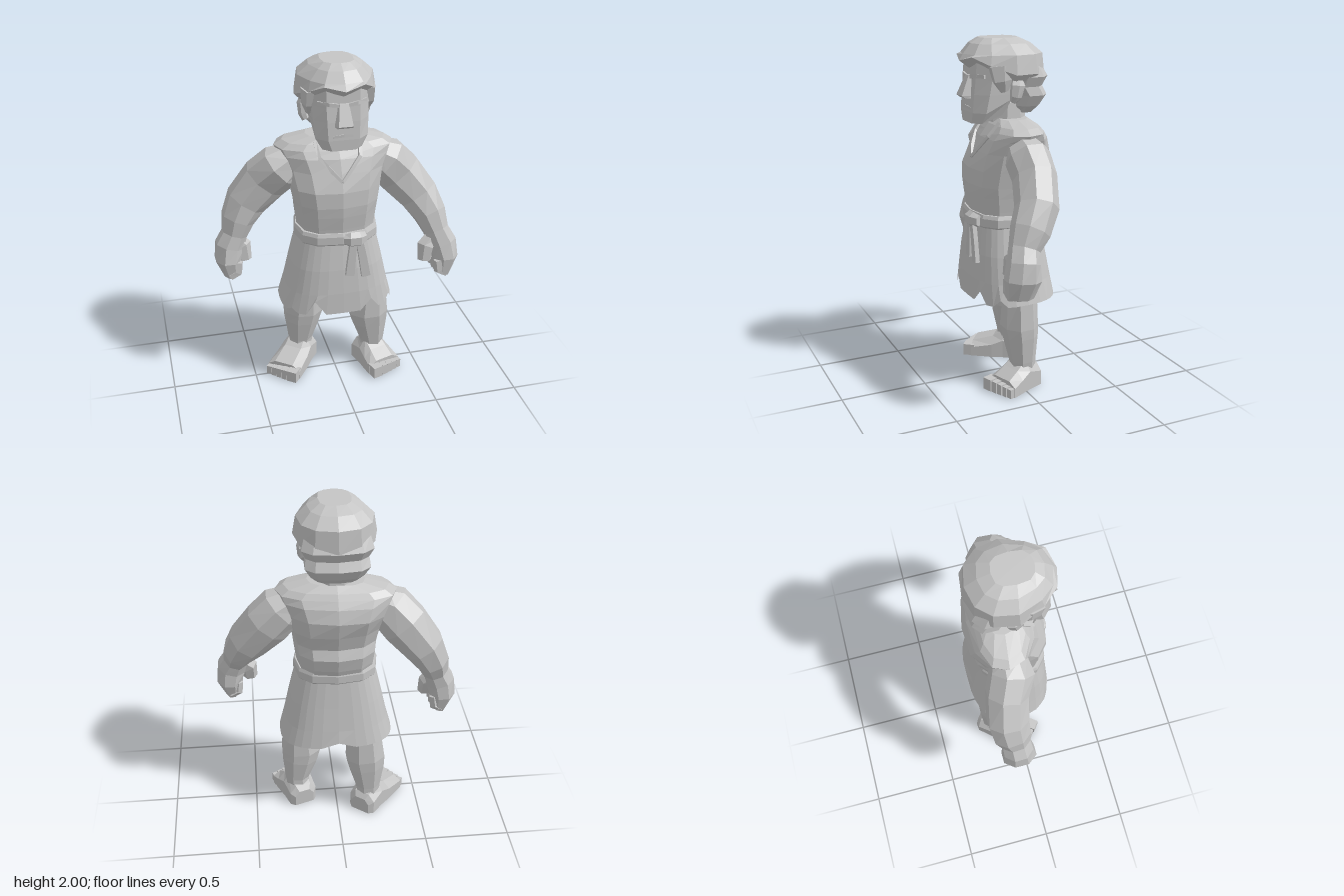
import * as THREE from 'three';

const V = (x, y, z) => new THREE.Vector3(x, y, z);
const grey = new THREE.MeshStandardMaterial({ color: 0xc4c4c4, side: THREE.DoubleSide });
grey.name = 'stone grey';

// Faceted skin over a list of equal-length point rings
function loft(name, rings, caps = true) {
  const pos = [];
  const tri = (...pts) => pts.forEach(p => pos.push(p.x, p.y, p.z));
  const n = rings[0].length;
  for (let i = 0; i < rings.length - 1; i++) {
    for (let j = 0; j < n; j++) {
      const k = (j + 1) % n, a = rings[i], b = rings[i + 1];
      tri(a[j], a[k], b[k]);
      tri(a[j], b[k], b[j]);
    }
  }
  if (caps) {
    for (const [ring, first] of [[rings[0], true], [rings[rings.length - 1], false]]) {
      const c = ring.reduce((s, p) => s.add(p), V(0, 0, 0)).divideScalar(n);
      ring.forEach((p, j) => {
        const q = ring[(j + 1) % n];
        first ? tri(c, q, p) : tri(c, p, q);
      });
    }
  }
  const geo = new THREE.BufferGeometry();
  geo.setAttribute('position', new THREE.Float32BufferAttribute(pos, 3));
  geo.computeVertexNormals();
  const mesh = new THREE.Mesh(geo, grey);
  mesh.name = name;
  return mesh;
}

// Horizontal rounded ring: height, half width, front z, back z
function ring([y, hw, zf, zb], n, p = 0.8, offset = 0, yAt = null) {
  const pw = v => Math.sign(v) * Math.abs(v) ** p;
  return Array.from({ length: n }, (_, i) => {
    const a = (i + offset) / n * Math.PI * 2;
    const x = hw * pw(Math.sin(a)), z = (zf + zb) / 2 + (zf - zb) / 2 * pw(Math.cos(a));
    return V(x, yAt ? yAt(i, z) : y, z);
  });
}

// Limb through sections [x, y, z, radius across, radius in depth]
function limb(name, sections, n = 8) {
  const c = sections.map(s => V(s[0], s[1], s[2]));
  return loft(name, sections.map(([, , , ru, rv = ru], i) => {
    const t = c[Math.min(i + 1, c.length - 1)].clone().sub(c[Math.max(i - 1, 0)]).normalize();
    const ref = Math.abs(t.z) > 0.9 ? V(0, 1, 0) : V(0, 0, 1);
    const v = ref.addScaledVector(t, -ref.dot(t)).normalize();
    const u = t.clone().cross(v);
    return Array.from({ length: n }, (_, j) => {
      const a = (j + 0.5) / n * Math.PI * 2;
      return c[i].clone().addScaledVector(u, ru * Math.sin(a)).addScaledVector(v, rv * Math.cos(a));
    });
  }));
}

function buildHead() {
  const g = new THREE.Group();
  g.name = 'head';
  // Jaw rings rise behind the chin
  const jaw = [[1.54, 0.115, 0.22, 0.0], [1.6, 0.152, 0.222, -0.06], [1.70, 0.16, 0.216, -0.12],
    [1.78, 0.164, 0.208, -0.15], [1.90, 0.164, 0.2, -0.15]];
  g.add(loft('face', jaw.map((r, i) => ring(r, 8, 0.6, 0.5, (_, z) => r[0] + (i < 2 ? Math.max(0, 0.1 - z) * 0.8 : 0)))));
  // Nose
  const quad = (y, w, zf, zb) => [V(-w, y, zf), V(w, y, zf), V(w * 1.3, y, zb), V(-w * 1.3, y, zb)];
  g.add(loft('nose', [quad(1.675, 0.042, 0.24, 0.19), quad(1.69, 0.04, 0.26, 0.19), quad(1.8, 0.024, 0.212, 0.19)]));
  g.add(limb('mouth', [[-0.06, 1.62, 0.208, 0.01], [0, 1.625, 0.211, 0.011], [0.05, 1.62, 0.208, 0.01]], 4));
  for (const s of [-1, 1]) {
    g.add(limb('brow', [[s * 0.025, 1.79, 0.2, 0.013], [s * 0.075, 1.80, 0.198, 0.014], [s * 0.13, 1.80, 0.16, 0.014]], 4));
    g.add(limb('ear', [[s * 0.165, 1.66, 0.01, 0.02, 0.02], [s * 0.178, 1.69, 0.0, 0.025, 0.035],
      [s * 0.184, 1.75, -0.01, 0.025, 0.045], [s * 0.17, 1.79, -0.01, 0.02, 0.03]], 6));
    g.add(limb('sideburn', [[s * 0.165, 1.86, 0.08, 0.04, 0.08], [s * 0.17, 1.78, 0.075, 0.032, 0.06],
      [s * 0.162, 1.72, 0.06, 0.014, 0.025]], 6));
  }
  // Hair cap with a scalloped hairline, narrower at the forehead, and the nape below it
  const line = [1.84, 1.865, 1.82, 1.77, 1.77, 1.74, 1.75];
  const taper = pts => pts.map(p => V(p.x * (p.z > 0.1 ? 0.88 : 1), p.y, p.z));
  g.add(loft('hairCap', [
    ring([0, 0.19, 0.205, -0.2], 12, 0.8, 0, i => line[Math.min(i, 12 - i)]),
    ring([0, 0.228, 0.258, -0.232], 12, 0.88, 0, i => line[Math.min(i, 12 - i)] + 0.04),
    ring([1.915, 0.21, 0.235, -0.216], 12, 0.85),
    ring([1.97, 0.15, 0.19, -0.15], 12, 0.8),
    ring([2.0, 0.09, 0.14, -0.08], 12, 0.7)].map(taper)));
  g.add(loft('napeHair', [[1.585, 0.11, -0.06, -0.155], [1.625, 0.15, -0.03, -0.195], [1.685, 0.182, -0.03, -0.23],
    [1.735, 0.175, 0.0, -0.205], [1.79, 0.2, 0.0, -0.232], [1.86, 0.18, 0.0, -0.19]].map(r => ring(r, 10, 0.75))));
  g.add(limb('neck', [[0, 1.42, -0.02, 0.13, 0.13], [0, 1.53, -0.025, 0.11, 0.11], [0, 1.64, -0.03, 0.1, 0.095]]));
  return g;
}

function buildTunic() {
  const g = new THREE.Group();
  g.name = 'tunic';
  // Shoulders turn slightly: the left one sits further forward
  const turned = pts => pts.map(p => V(p.x, p.y, p.z + p.x * 0.08));
  g.add(loft('shirt', [[0.97, 0.22, 0.185, -0.185], [1.05, 0.228, 0.195, -0.212], [1.13, 0.238, 0.207, -0.23],
    [1.19, 0.245, 0.212, -0.208], [1.28, 0.262, 0.208, -0.232], [1.38, 0.28, 0.172, -0.252], [1.455, 0.315, 0.138, -0.225],
    [1.495, 0.335, 0.108, -0.195], [1.525, 0.29, 0.085, -0.17], [1.555, 0.16, 0.055, -0.13]]
    .map(r => r[0] > 1.3 ? turned(ring(r, 12, 0.78)) : ring(r, 12, 0.78))));
  // V collar
  for (const s of [-1, 1]) {
    g.add(limb('collar', [[s * 0.125, 1.54, 0.062 + s * 0.01, 0.014], [s * 0.112, 1.465, 0.123 + s * 0.009, 0.014],
      [s * 0.055, 1.4, 0.16, 0.014], [0, 1.34, 0.187, 0.012]], 4));
  }
  // Skirt with torn hem
  const notch = { 2: 0.59, 5: 0.565, 16: 0.575, 27: 0.55, 30: 0.61 };
  g.add(loft('skirt', [
    ring([0, 0.335, 0.228, -0.258], 32, 0.72, 0, (i, z) => notch[i] ?? 0.53 - z * 0.04),
    ring([0.65, 0.303, 0.224, -0.24], 32, 0.72),
    ring([0.80, 0.27, 0.212, -0.215], 32, 0.72),
    ring([0.97, 0.23, 0.188, -0.188], 32, 0.75)], false));
  return g;
}

function buildBelt() {
  const g = new THREE.Group();
  g.name = 'belt';
  g.add(loft('belt', [[0.955, 0.235, 0.2, -0.195], [0.965, 0.243, 0.208, -0.203], [1.01, 0.243, 0.208, -0.203],
    [1.03, 0.235, 0.2, -0.195]].map(r => ring(r, 12, 0.75))));
  g.add(limb('knot', [[0.01, 0.995, 0.205, 0.03, 0.025], [0.04, 0.995, 0.22, 0.046, 0.034],
    [0.09, 0.995, 0.22, 0.046, 0.034], [0.125, 0.995, 0.2, 0.035, 0.025]], 6));
  for (const [x0, x1, y1] of [[0.055, 0.035, 0.77], [0.09, 0.13, 0.755]]) {
    g.add(limb('beltTail', [[x0, 0.98, 0.222, 0.028, 0.018], [(x0 + x1) / 2, 0.88, 0.222, 0.032, 0.018],
      [x1, y1, 0.222, 0.036, 0.018]], 4));
  }
  return g;
}

// s: side; z: depths of shoulder, upper arm, elbow, forearm, wrist, palm, knuckles, fingertips
function buildArm(s, z, thumbX) {
  const g = new THREE.Group();
  g.name = s > 0 ? 'leftArm' : 'rightArm';
  const path = [[0.24, 1.41, 0.1, 0.1], [0.3, 1.37, 0.135, 0.125], [0.385, 1.28, 0.14, 0.12], [0.495, 1.145, 0.122, 0.12],
    [0.55, 1.04, 0.098, 0.112], [0.575, 0.955, 0.076, 0.088], [0.605, 0.885, 0.088, 0.092], [0.62, 0.8, 0.08, 0.105], [0.607, 0.7, 0.045, 0.08]];
  const depth = [z[0], ...z];
  g.add(limb('arm', path.map(([x, y, a, b], i) => [s * x, y, depth[i], a, b])));
  // Thumb and curled fingers on the inner side
  const hz = z[6];
  g.add(limb('thumb', [[s * (thumbX + 0.055), 0.93, hz - 0.02, 0.045], [s * thumbX, 0.875, hz + 0.005, 0.055, 0.05],
    [s * (thumbX - 0.01), 0.79, hz + 0.02, 0.042, 0.035]], 6));
  for (let i = 0; i < 3; i++) {
    const fz = hz - 0.05 + i * 0.055;
    g.add(limb('finger', [[s * 0.62, 0.71, fz, 0.028], [s * 0.575, 0.735, fz, 0.032], [s * 0.565, 0.8, fz, 0.026]], 5));
  }
  return g;
}

function buildLeg(name, sections, turn, toe, s) {
  const g = new THREE.Group();
  g.name = name;
  g.add(limb('leg', sections));
  // Foot sections: distance from ankle, half width, height
  const [ax, , az] = sections[sections.length - 1];
  const foot = new THREE.Group();
  foot.name = 'foot';
  const sole = [[-0.09, 0.06, 0.1], [-0.065, 0.085, 0.13], [0.03, 0.09, 0.17], [0.1, 0.1, 0.125], [toe - 0.05, 0.108, 0.085]];
  foot.add(loft('footBody', sole.map(([d, w, h]) => [[w, 0], [w, h * 0.65], [w * 0.55, h], [-w * 0.55, h], [-w, h * 0.65], [-w, 0]]
    .map(([x, y]) => V(x, y, d)))));
  // Big toe lies on the inner side
  let x = -0.108;
  [0.066, 0.04, 0.038, 0.036, 0.034].forEach((w, i) => {
    const t = new THREE.Mesh(new THREE.BoxGeometry(w - 0.004, 0.07 - i * 0.004, 0.07), grey);
    t.name = 'toe';
    t.position.set(s * (x + w / 2), 0.036 - i * 0.002, toe - 0.035 - i * 0.005);
    foot.add(t);
    x += w;
  });
  foot.position.set(ax, 0, az);
  foot.rotation.y = turn;
  g.add(foot);
  return g;
}

export function createModel() {
  const g = new THREE.Group();
  g.name = 'tunicMan';
  g.add(buildHead(), buildTunic(), buildBelt());
  g.add(buildArm(1, [-0.015, -0.015, 0.025, 0.09, 0.135, 0.155, 0.165, 0.175], 0.505));
  g.add(buildArm(-1, [-0.05, -0.1, -0.125, -0.115, -0.1, -0.095, -0.09, -0.09], 0.535));
  g.add(buildLeg('leftLeg', [[0.16, 0.75, -0.02, 0.11], [0.22, 0.54, -0.01, 0.1], [0.212, 0.37, -0.01, 0.124, 0.108],
    [0.222, 0.3, -0.015, 0.112, 0.1], [0.24, 0.16, -0.02, 0.077], [0.23, 0.06, -0.03, 0.07]], 0.33, 0.22, 1));
  g.add(buildLeg('rightLeg', [[-0.14, 0.75, -0.05, 0.11], [-0.165, 0.54, -0.11, 0.105], [-0.172, 0.37, -0.125, 0.124, 0.108],
    [-0.18, 0.3, -0.13, 0.112, 0.1], [-0.19, 0.16, -0.14, 0.077], [-0.19, 0.06, -0.145, 0.07]], -0.66, 0.28, -1));
  return g;
}
